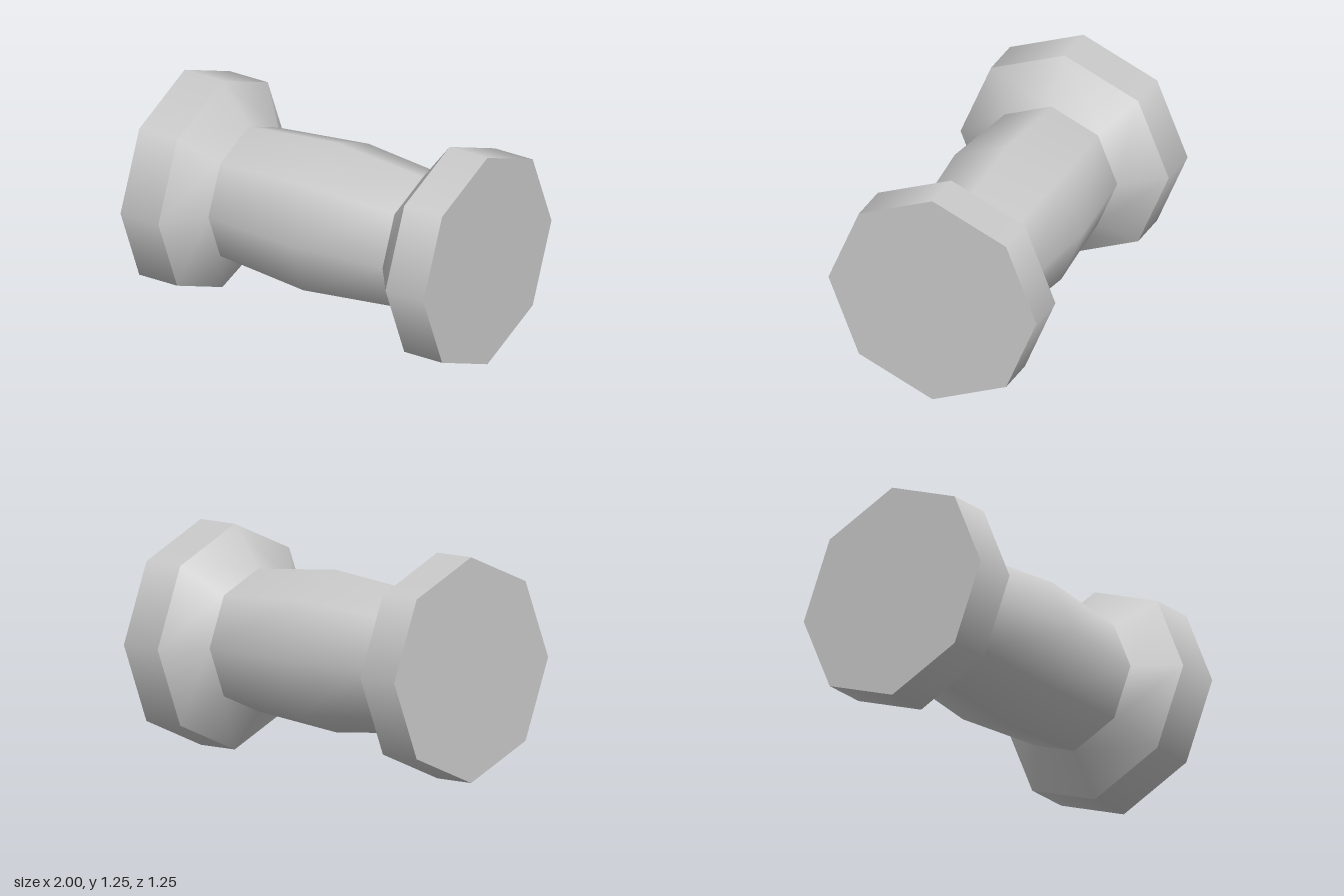
import * as THREE from 'three';

const SIDES = 8;
const RIM = 0.625, WAIST = 0.395, BELLY = 0.45;

export function createModel() {
  const spool = new THREE.Group();
  spool.name = 'spool';
  const material = new THREE.MeshStandardMaterial({ color: 0xcccccc });

  const add = (name, geometry) => {
    const mesh = new THREE.Mesh(geometry, material);
    mesh.name = name;
    mesh.position.y = RIM;
    spool.add(mesh);
  };

  // Smooth band turned around the x axis; profile is [radius, x] with x rising
  const band = (name, profile) => {
    const points = profile.map(([r, x]) => new THREE.Vector2(r, x));
    add(name, new THREE.LatheGeometry(points, SIDES).rotateZ(-Math.PI / 2));
  };

  // Barrel, slightly swollen in the middle
  band('barrel', [[WAIST, -0.575], [BELLY, 0], [WAIST, 0.575]]);

  // Flange at each end: sloped inner face, flat rim and end cap
  for (const [side, s] of [['left', 1], ['right', -1]]) {
    const ordered = (profile) => {
      const p = profile.map(([r, x]) => [r, s * x]);
      return s > 0 ? p : p.reverse();
    };
    band(side + 'Flare', ordered([[WAIST, 0.575], [RIM, 0.75]]));
    band(side + 'Rim', ordered([[RIM, 0.75], [RIM, 1]]));
    add(side + 'Cap', new THREE.CircleGeometry(RIM, SIDES).rotateY(s * Math.PI / 2).translate(s, 0, 0));
  }
  return spool;
}
